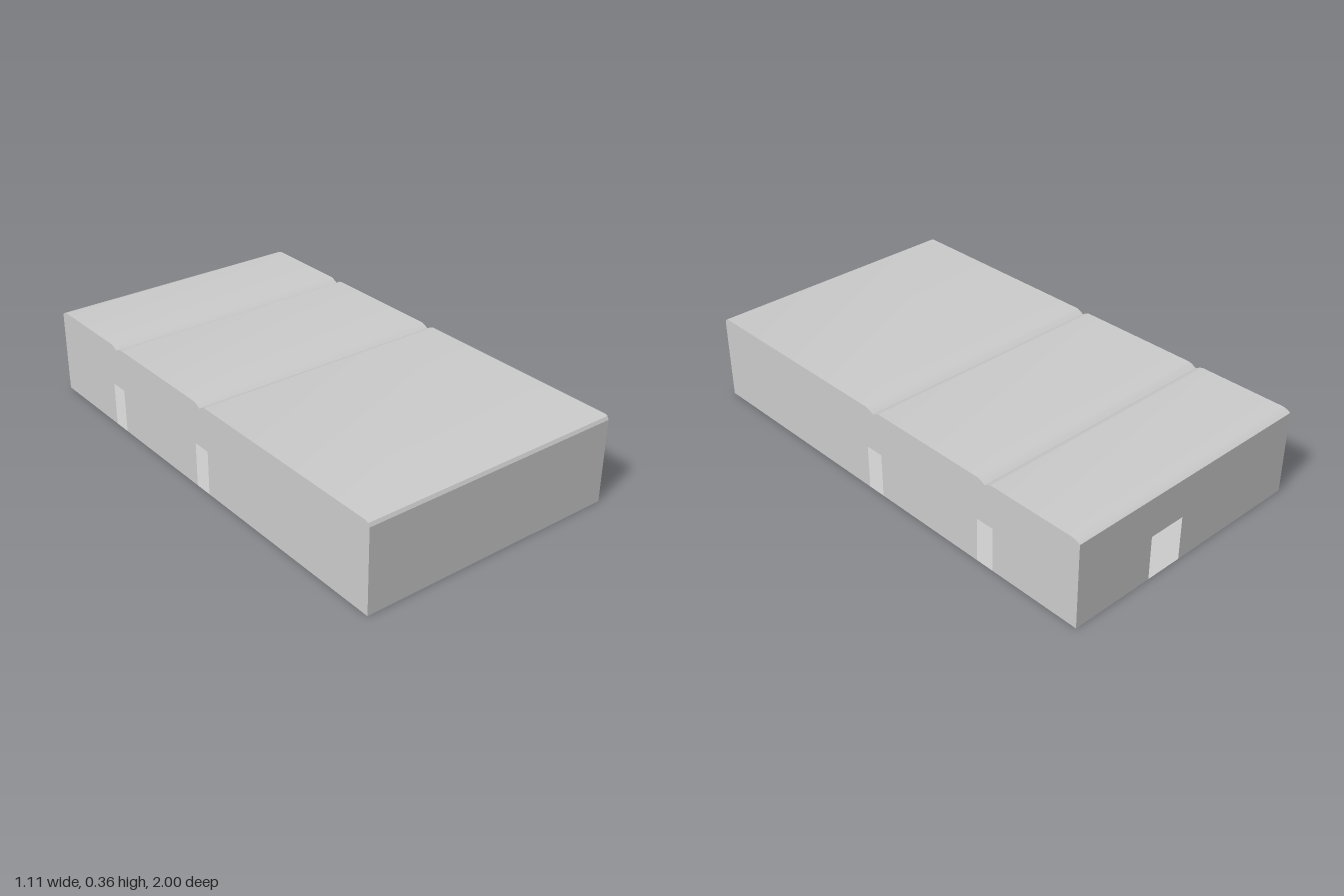
import * as THREE from 'three';
import { toCreasedNormals } from 'three/addons/utils/BufferGeometryUtils.js';

const HALF_W = 0.557, TOP = 0.363;
const DOOR_H = 0.185;

// Roof section as [z, y], from back to front, with two shallow grooves
const groove = (z) => [[-0.035, 0], [-0.02, -0.004], [0, -0.015], [0.02, -0.004], [0.035, 0]]
  .map(([dz, dy]) => [z + dz, TOP + dy]);
const ROOF = [
  [-1, 0.35], [-0.985, 0.359], [-0.965, TOP],
  ...groove(-0.56), ...groove(0.037),
  [0.98, TOP], [0.993, 0.358], [1, 0.345],
];

// Wall outline standing on y = 0, with doorways notched out of the bottom edge
function wallShape(topPoints, doors) {
  const shape = new THREE.Shape();
  const start = topPoints[0][0], end = topPoints[topPoints.length - 1][0];
  shape.moveTo(start, 0);
  for (const [a, b] of doors) {
    shape.lineTo(a, 0);
    shape.lineTo(a, DOOR_H);
    shape.lineTo(b, DOOR_H);
    shape.lineTo(b, 0);
  }
  shape.lineTo(end, 0);
  for (const [u, v] of [...topPoints].reverse()) shape.lineTo(u, v);
  return new THREE.ShapeGeometry(shape);
}

export function createModel() {
  const group = new THREE.Group();
  const material = new THREE.MeshStandardMaterial({ color: 0xcccccc, side: THREE.DoubleSide });
  const add = (name, geometry) => {
    const mesh = new THREE.Mesh(geometry, material);
    mesh.name = name;
    group.add(mesh);
    return mesh;
  };

  // Roof: a sheet whose rows follow the section
  const roof = new THREE.PlaneGeometry(2 * HALF_W, 2, 1, ROOF.length - 1).rotateX(-Math.PI / 2);
  const pos = roof.attributes.position;
  for (let i = 0; i < pos.count; i++) {
    const [z, y] = ROOF[Math.floor(i / 2)];
    pos.setY(i, y).setZ(i, z);
  }
  roof.computeVertexNormals();
  add('roof', toCreasedNormals(roof, 0.7));

  // Side walls, each with two doorways
  const side = wallShape(ROOF, [[-0.6, -0.52], [0, 0.08]])
    .rotateY(-Math.PI / 2).translate(-HALF_W, 0, 0);
  add('rightWall', side);
  add('leftWall', side).scale.x = -1;

  // Front wall is plain
  add('frontWall', wallShape([[-HALF_W, 0.345], [HALF_W, 0.345]], []).translate(0, 0, 1));

  // Back wall has one wider doorway off centre
  add('backWall', wallShape([[-HALF_W, 0.35], [HALF_W, 0.35]], [[-0.195, -0.035]])
    .rotateY(Math.PI).translate(0, 0, -1));

  // Floor of the hollow interior
  add('floor', new THREE.PlaneGeometry(2 * HALF_W, 2).rotateX(Math.PI / 2));

  return group;
}
